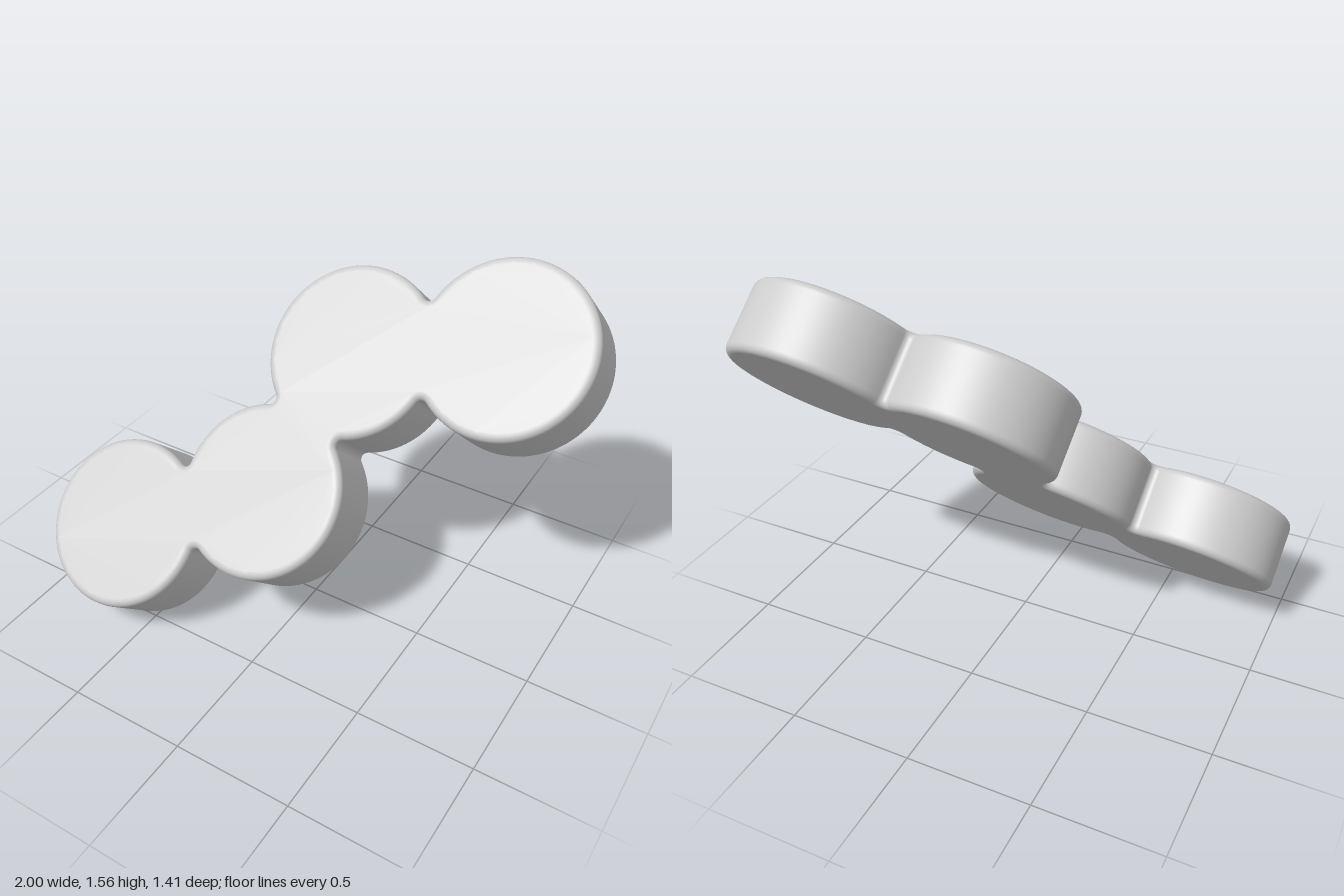
import * as THREE from 'three';
import { mergeVertices } from 'three/addons/utils/BufferGeometryUtils.js';

const R = 0.351;        // disc radius
const FILLET = 0.025;   // fillet where discs meet
const THICK = 0.3;
const BEVEL = 0.03;     // rounded rim

// Disc centres in the plate's own plane
const centres = [[-0.643, -0.57], [-0.093, -0.24], [0.056, 0.391], [0.642, 0.57]]
  .map(([x, y]) => new THREE.Vector2(x, y));

// Centre of the fillet circle on the right-hand side of a -> b
function filletCentre(a, b) {
  const d = b.clone().sub(a);
  const half = d.length() / 2;
  const h = Math.sqrt((R + FILLET) ** 2 - half * half);
  d.normalize();
  return a.clone().add(b).multiplyScalar(0.5).add(new THREE.Vector2(d.y, -d.x).multiplyScalar(h));
}

// Sampled arc from angle a0 to a1, counter-clockwise if dir = 1
function arc(c, r, a0, a1, dir, step) {
  const turn = Math.PI * 2;
  const sweep = (((a1 - a0) * dir) % turn + turn) % turn;
  const n = Math.max(4, Math.ceil(sweep / step));
  return Array.from({ length: n }, (_, i) => {
    const a = a0 + dir * sweep * i / n;
    return new THREE.Vector2(c.x + r * Math.cos(a), c.y + r * Math.sin(a));
  });
}

const angle = (from, to) => Math.atan2(to.y - from.y, to.x - from.x);

// Walk round the chain: up one side and back down the other
function outline() {
  const walk = [0, 1, 2, 3, 2, 1].map(i => centres[i]);
  const points = [];
  walk.forEach((c, i) => {
    const prev = walk[(i + 5) % 6], next = walk[(i + 1) % 6];
    const fIn = filletCentre(prev, c), fOut = filletCentre(c, next);
    points.push(...arc(c, R, angle(c, fIn), angle(c, fOut), 1, 0.06));
    points.push(...arc(fOut, FILLET, angle(fOut, c), angle(fOut, next), -1, 0.2));
  });
  return new THREE.Shape(points);
}

export function createModel() {
  const group = new THREE.Group();
  group.name = 'discChain';

  let geometry = new THREE.ExtrudeGeometry(outline(), {
    depth: THICK - 2 * BEVEL,
    bevelThickness: BEVEL,
    bevelSize: BEVEL,
    bevelOffset: -BEVEL,
    bevelSegments: 5,
  });
  geometry.translate(0, 0, BEVEL - THICK / 2);

  // Weld for smooth rims; the large caps keep their flat normals
  geometry.deleteAttribute('uv');
  geometry.deleteAttribute('normal');
  geometry = mergeVertices(geometry, 1e-5);
  geometry.computeVertexNormals();

  const plate = new THREE.Mesh(geometry, new THREE.MeshStandardMaterial({ color: 0xcccccc }));
  plate.name = 'fourDiscPlate';

  // Lean the plate back
  const n = new THREE.Vector3(-0.05, 0.686, 0.726).normalize();
  const u = new THREE.Vector3(1, 0, 0).addScaledVector(n, -n.x).normalize();
  const v = n.clone().cross(u);
  plate.quaternion.setFromRotationMatrix(new THREE.Matrix4().makeBasis(u, v, n));
  plate.position.set(0, 0.78, 0);
  group.add(plate);
  return group;
}
